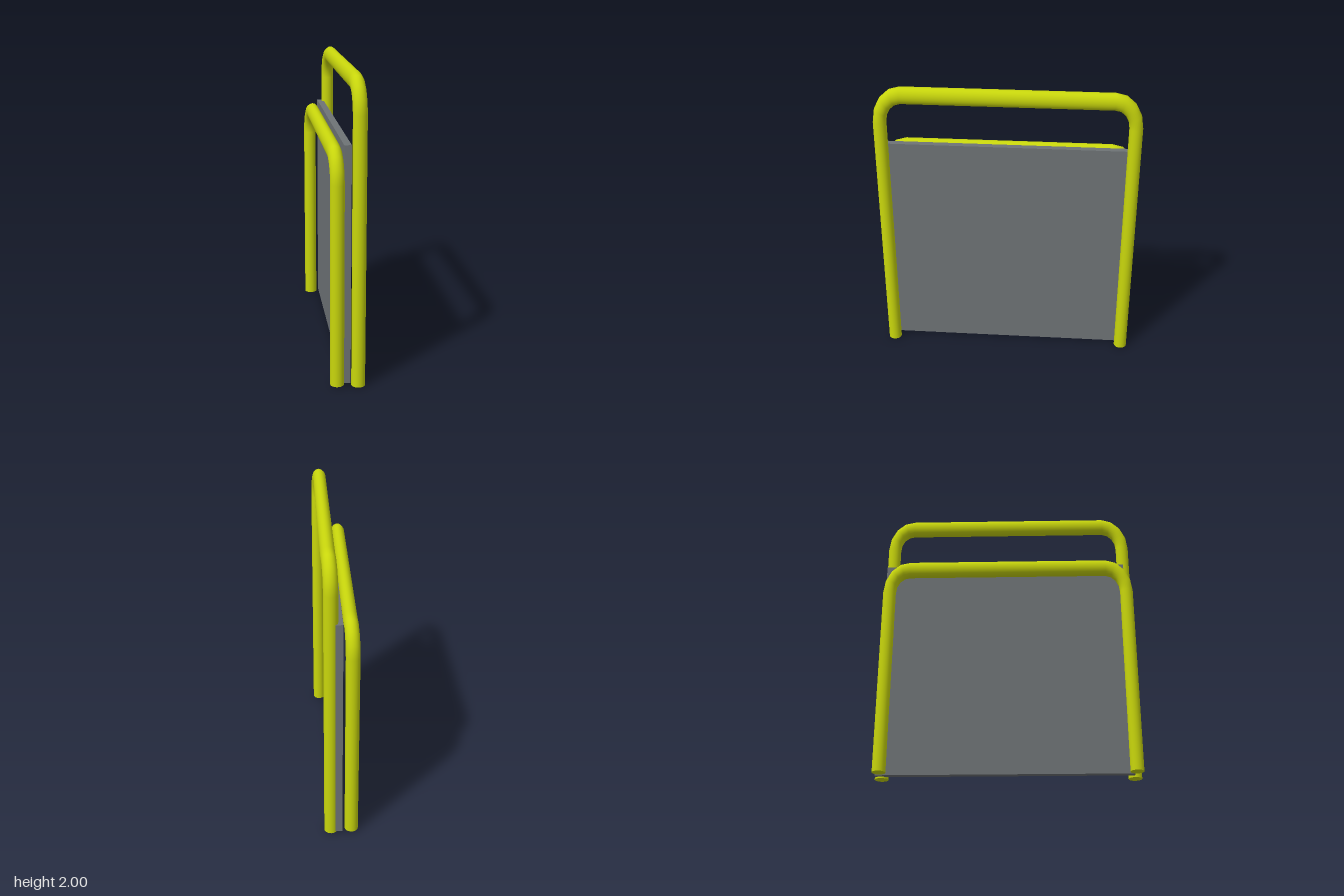
import * as THREE from 'three';

const yellow = new THREE.MeshStandardMaterial({ color: 0xc8d60c });
const grey = new THREE.MeshStandardMaterial({ color: 0x6e7376 });

const R = 0.045;        // tube radius
const BEND = 0.142;     // bend radius before the vertical stretch
const LEG_Z = 0.842;    // leg distance from the middle
const STRETCH = 1.31;   // tubes are stretched upwards, so the bar is oval
const SIDES = 24, STEPS = 4;

// Upside-down U of tube: leg up, bend, top bar, bend, leg down
function makeHoop(name, x, bottom, top) {
  const height = (top - bottom) / STRETCH - R;
  const stations = [{ z: LEG_Z, y: 0, a: 0 }];
  for (const side of [1, -1]) {
    for (let i = 0; i <= STEPS; i++) {
      const a = (i / STEPS + (side < 0 ? 1 : 0)) * Math.PI / 2;
      stations.push({
        z: side * (LEG_Z - BEND) + BEND * Math.cos(a),
        y: height - BEND + BEND * Math.sin(a),
        a,
      });
    }
  }
  stations.push({ z: -LEG_Z, y: 0, a: Math.PI });

  const pos = [], nor = [], idx = [];
  stations.forEach(({ z, y, a }, i) => {
    const lean = 0.01 * Math.cos(a); // legs sit slightly askew of the bar
    for (let j = 0; j < SIDES; j++) {
      const t = j / SIDES * Math.PI * 2;
      const n = [Math.sin(t), Math.cos(t) * Math.sin(a), Math.cos(t) * Math.cos(a)];
      nor.push(...n);
      pos.push(lean + R * n[0], y + R * n[1], z + R * n[2]);
      if (i < stations.length - 1) {
        const p = i * SIDES + j, q = i * SIDES + (j + 1) % SIDES;
        idx.push(p, q, p + SIDES, q, q + SIDES, p + SIDES);
      }
    }
  });
  const geo = new THREE.BufferGeometry();
  geo.setAttribute('position', new THREE.Float32BufferAttribute(pos, 3));
  geo.setAttribute('normal', new THREE.Float32BufferAttribute(nor, 3));
  geo.setIndex(idx);
  geo.scale(1, STRETCH, 1);

  const hoop = new THREE.Group();
  hoop.name = name;
  const tube = new THREE.Mesh(geo, yellow);
  tube.name = name + 'Tube';
  hoop.add(tube);

  // Closed leg ends
  for (const s of [1, -1]) {
    const cap = new THREE.Mesh(new THREE.CircleGeometry(R, SIDES).rotateX(Math.PI / 2), yellow);
    cap.name = name + 'LegEnd';
    cap.position.set(0.01 * s, 0, LEG_Z * s);
    hoop.add(cap);
  }
  hoop.position.set(x, bottom, 0);
  return hoop;
}

export function createModel() {
  const model = new THREE.Group();
  model.name = 'panelBarrier';

  model.add(makeHoop('tallHoop', 0.066, 0, 2));
  model.add(makeHoop('shortHoop', -0.07, 0.01, 1.575));

  // Flat panel between the hoops
  const panel = new THREE.Mesh(new THREE.BoxGeometry(0.046, 1.562, 1.713), grey);
  panel.name = 'panel';
  panel.position.set(0.005, 0.791, -0.022);
  model.add(panel);

  return model;
}
